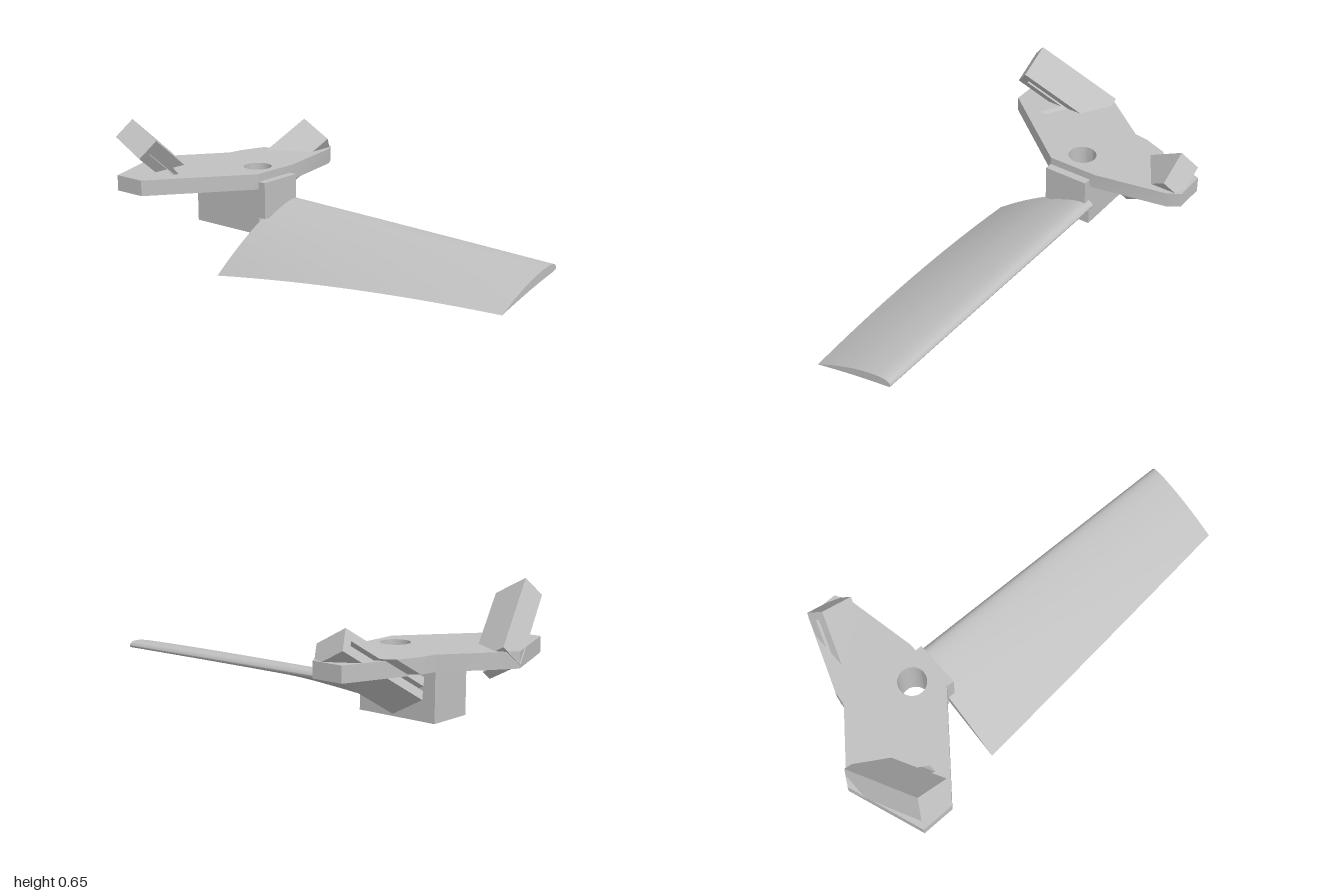
import * as THREE from 'three';
import { mergeGeometries, toCreasedNormals } from 'three/addons/utils/BufferGeometryUtils.js';

const grey = new THREE.MeshStandardMaterial({ color: 0xc0c0c0, side: THREE.DoubleSide });
grey.name = 'grey plastic';

const V2 = (x, z) => new THREE.Vector2(x, z);
const V3 = (x, y, z) => new THREE.Vector3(x, y, z);

function mesh(geometry, name) {
  const m = new THREE.Mesh(geometry, grey);
  m.name = name;
  return m;
}

function buffer(positions, index) {
  const g = new THREE.BufferGeometry();
  g.setAttribute('position', new THREE.Float32BufferAttribute(positions, 3));
  if (index) g.setIndex(index);
  g.computeVertexNormals();
  return g;
}

// Upright slab from (x, z) loops: outline first, then holes; the holes may lean
function slab(topY, bottomY, topLoops, bottomLoops) {
  const cap = (loops, sign, y) => {
    const pts = loops.map(l => l.map(p => V2(p.x, -sign * p.y)));
    const shape = new THREE.Shape(pts[0]);
    shape.holes = pts.slice(1).map(h => new THREE.Path(h));
    const g = new THREE.ShapeGeometry(shape).rotateX(-sign * Math.PI / 2).translate(0, y, 0).toNonIndexed();
    g.deleteAttribute('uv');
    return g;
  };
  const wall = [];
  topLoops.forEach((top, k) => {
    const bottom = bottomLoops[k], n = top.length;
    const forward = (THREE.ShapeUtils.area(top) < 0) === (k === 0);
    for (let i = 0; i < n; i++) {
      const a = forward ? i : (i + 1) % n, b = forward ? (i + 1) % n : i;
      const ba = [bottom[a].x, bottomY, bottom[a].y], bb = [bottom[b].x, bottomY, bottom[b].y];
      const ta = [top[a].x, topY, top[a].y], tb = [top[b].x, topY, top[b].y];
      wall.push(...ba, ...bb, ...tb, ...ba, ...tb, ...ta);
    }
  });
  return toCreasedNormals(mergeGeometries([cap(topLoops, 1, topY), cap(bottomLoops, -1, bottomY), buffer(wall)]), 0.5);
}

// Slanted bars: origin is the middle of the slotted face's upper edge,
// n points out of the slotted face, e runs across it, d runs down the bar
const WIDTH = 0.165, HALF = 0.0535, LENGTH = 0.426, SLOT = 0.011, DEPTH = 0.05, START = 0.035;
function frame(origin, n, e) {
  n.normalize();
  e.addScaledVector(n, -e.dot(n)).normalize();
  return { origin, n, e, d: n.clone().cross(e) };
}
const frontFrame = frame(V3(-0.715, 0.5325, 0.4775), V3(0.145, -0.078, 0), V3(-0.04, -0.075, 0.065));
const backFrame = frame(V3(-0.635, 0.4925, -0.4775), V3(-0.145, 0.078, 0), V3(-0.04, -0.075, -0.065));

function slantedBar(f, name) {
  const extrude = (pts, from, to) => new THREE.ExtrudeGeometry(
    new THREE.Shape(pts.map(p => V2(...p))), { depth: to - from, bevelEnabled: false }).translate(0, 0, from);
  const block = [[-WIDTH, -HALF], [0, -HALF], [0, HALF], [-WIDTH, HALF]];
  const slotted = [[-WIDTH, -HALF], [0, -HALF], [0, -SLOT], [-DEPTH, -SLOT],
    [-DEPTH, SLOT], [0, SLOT], [0, HALF], [-WIDTH, HALF]];
  const g = mergeGeometries([extrude(block, 0, START), extrude(slotted, START, LENGTH)]);
  g.applyMatrix4(new THREE.Matrix4().makeBasis(f.n, f.e, f.d).setPosition(f.origin));
  return mesh(g, name);
}

// Where the slot of a bar crosses the level y, at distance p along n and s along e
function slotPoint(f, y, p, s) {
  const t = (y - f.origin.y - f.n.y * p - f.e.y * s) / f.d.y;
  const v = f.origin.clone().addScaledVector(f.d, t).addScaledVector(f.n, p).addScaledVector(f.e, s);
  return V2(v.x, v.z);
}

// Bolt hole
const boltHole = [];
for (let i = 0; i < 40; i++) {
  const a = i / 40 * Math.PI * 2;
  boltHole.push(V2(-0.51 + 0.063 * Math.cos(a), 0.063 * Math.sin(a)));
}

// Plate loops at one level: outline with an open notch, bolt hole, slot
function plateLoops(y) {
  const e0 = V2(-0.78, -0.18), e1 = V2(-0.655, -0.515);
  const onEdge = s => {
    const off = p => {
      const q = slotPoint(backFrame, y, p, s);
      return q.x - e0.x - (e1.x - e0.x) * (q.y - e0.y) / (e1.y - e0.y);
    };
    const f0 = off(0), f1 = off(0.1);
    return slotPoint(backFrame, y, -f0 * 0.1 / (f1 - f0), s);
  };
  const outline = [
    V2(-1, 0.17), V2(-0.96, 0.11), V2(-0.79, -0.11), e0,
    onEdge(-SLOT), slotPoint(backFrame, y, -DEPTH, -SLOT), slotPoint(backFrame, y, -DEPTH, SLOT), onEdge(SLOT),
    e1, V2(-0.51, -0.515), V2(-0.475, -0.46), V2(-0.41, -0.13), V2(-0.41, 0.105), V2(-0.73, 0.51), V2(-0.88, 0.51),
  ];
  const slot = [[-DEPTH, -SLOT], [0.086, -SLOT], [0.086, SLOT], [-DEPTH, SLOT]]
    .map(([p, s]) => slotPoint(frontFrame, y, p, s));
  return [outline, boltHole, slot];
}

// Twisted, tapering blade: one aerofoil swept along x
function bladeGeometries() {
  const half = pts => new THREE.SplineCurve(pts.map(p => V2(...p))).getPoints(28);
  const upper = half([[1, 0], [0.85, 0.033], [0.7, 0.06], [0.5, 0.085], [0.35, 0.092], [0.2, 0.088],
    [0.1, 0.075], [0.04, 0.055], [0.01, 0.03], [0, 0]]);
  const lower = half([[0, 0], [0.015, -0.017], [0.07, -0.02], [0.2, -0.012], [0.5, 0], [0.85, 0.002], [1, 0]]);
  const profile = [...upper, ...lower.slice(1)];
  const M = profile.length - 1, steps = 28, pos = [], index = [];
  for (let i = 0; i <= steps; i++) {
    const u = i / steps;
    const lead = V2(-0.13 + 0.03 * u, 0.237 - 0.027 * u);
    const trail = V2(0.383 - 0.07 * u - 0.028 * u * u, 0.001 + 0.21 * u - 0.096 * u * u);
    const c = trail.sub(lead);
    for (const p of profile) {
      pos.push(-0.405 + 1.405 * u, lead.y + c.y * p.x + c.x * p.y, lead.x + c.x * p.x - c.y * p.y);
    }
  }
  for (let i = 0; i < steps; i++) {
    for (let j = 0; j < M; j++) {
      const a = i * (M + 1) + j, b = a + 1, c = a + M + 1, d = c + 1;
      index.push(a, c, b, b, c, d);
    }
  }
  // End caps join matching points of the upper and lower curves
  const caps = [], tip = steps * (M + 1);
  const at = k => pos.slice(k * 3, k * 3 + 3);
  for (let j = 0; j < M / 2; j++) {
    const quad = [j, M - j, M - j - 1, j + 1];
    for (const k of [0, 1, 2, 0, 2, 3]) caps.push(...at(tip + quad[k]));
    for (const k of [0, 2, 1, 0, 3, 2]) caps.push(...at(quad[k]));
  }
  return [buffer(pos, index), buffer(caps)];
}

export function createModel() {
  const model = new THREE.Group();
  model.name = 'fanBladeAssembly';

  model.add(mesh(slab(0.4, 0.33, plateLoops(0.4), plateLoops(0.33)), 'mountingPlate'));

  const blockLoops = [[V2(-0.79, -0.105), V2(-0.41, -0.105), V2(-0.41, 0.105), V2(-0.79, 0.105)], boltHole];
  model.add(mesh(slab(0.33, 0.12, blockLoops, blockLoops), 'hubBlock'));

  model.add(mesh(new THREE.BoxGeometry(0.04, 0.165, 0.21).translate(-0.393, 0.2825, 0), 'bladeTab'));

  model.add(slantedBar(frontFrame, 'frontSlantedBar'), slantedBar(backFrame, 'backSlantedBar'));

  const [skin, caps] = bladeGeometries();
  model.add(mesh(skin, 'blade'), mesh(caps, 'bladeEnds'));
  return model;
}
